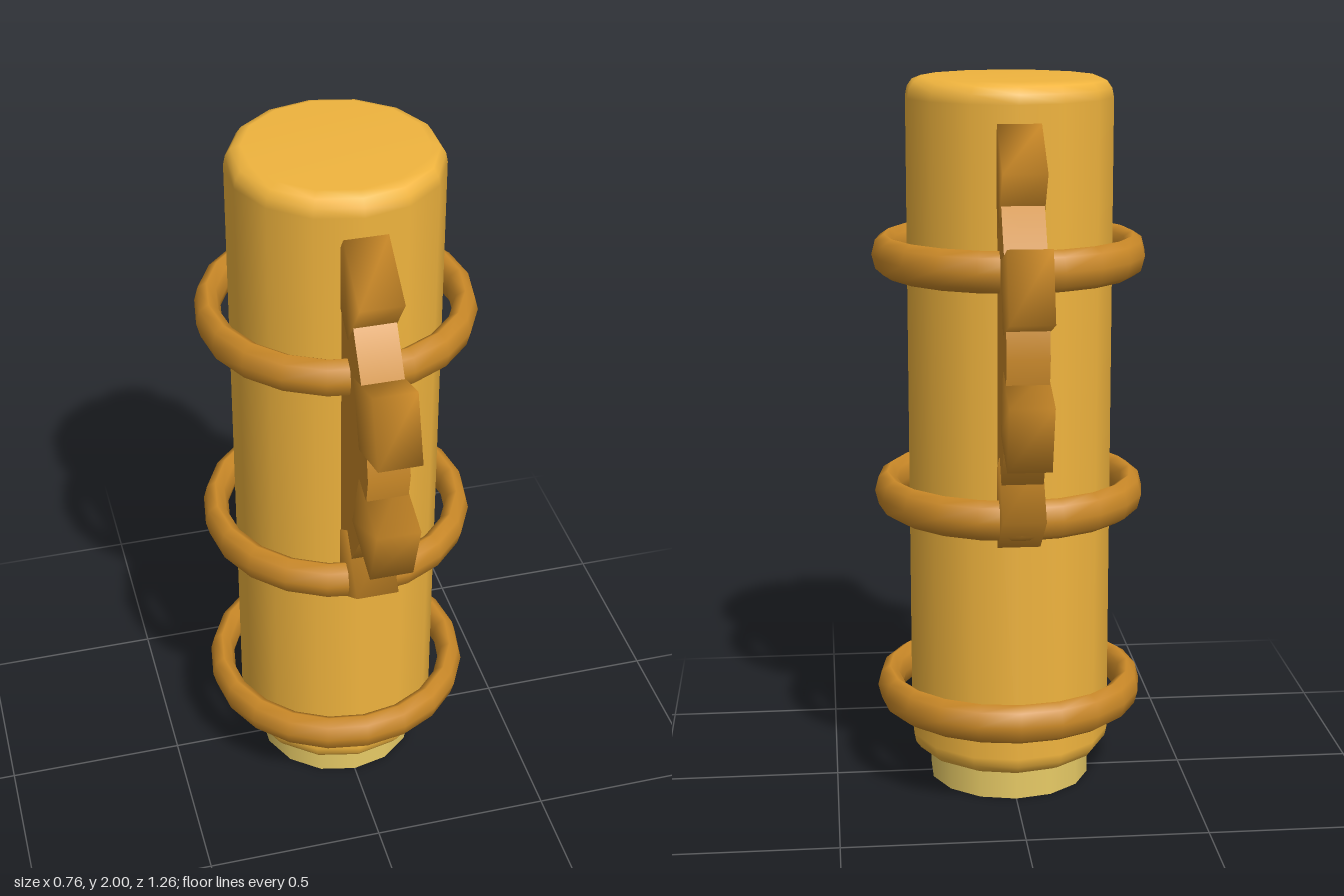
import * as THREE from 'three';
import { mergeVertices } from 'three/addons/utils/BufferGeometryUtils.js';

const material = (color) => new THREE.MeshStandardMaterial({ color });

// Box whose corners share normals, giving it soft shading
function softBox(w, h, d) {
  const box = new THREE.BoxGeometry(w, h, d);
  box.deleteAttribute('normal');
  box.deleteAttribute('uv');
  const soft = mergeVertices(box);
  soft.computeVertexNormals();
  return soft;
}

function lathe(points, sides) {
  return new THREE.LatheGeometry(points.map(([r, y]) => new THREE.Vector2(r, y)), sides);
}

export function createModel() {
  const model = new THREE.Group();
  const gold = material(0xf0b43e);
  const bronze = material(0xcc8a28);
  const pale = material(0xe8cb66);

  const add = (parent, name, geometry, mat) => {
    const mesh = new THREE.Mesh(geometry, mat);
    mesh.name = name;
    parent.add(mesh);
    return mesh;
  };

  // Column with rounded rims
  add(model, 'body', lathe([
    [0, 0.08], [0.235, 0.08], [0.265, 0.095], [0.28, 0.115], [0.285, 0.14],
    [0.285, 1.945], [0.28, 1.97], [0.266, 1.99], [0.24, 2], [0, 2],
  ], 14), gold);

  // Foot under the column
  const foot = add(model, 'foot', new THREE.CylinderGeometry(0.229, 0.229, 0.12, 14), pale);
  foot.position.y = 0.06;

  // Hoops standing clear of the column, taller than they are thick
  for (const y of [0.27, 0.85, 1.52]) {
    const hoop = add(model, 'hoop', new THREE.TorusGeometry(0.343, 0.035, 8, 20), bronze);
    hoop.rotation.x = Math.PI / 2;
    hoop.scale.z = 1.6;
    hoop.position.y = y;
  }

  // Upright cog wheel passing through the column
  const cog = new THREE.Group();
  cog.name = 'cog';
  cog.position.y = 1.33;
  model.add(cog);
  const disc = add(cog, 'cogDisc', new THREE.CylinderGeometry(0.535, 0.535, 0.112, 16), bronze);
  disc.rotation.z = Math.PI / 2;

  // Ten teeth around the rim
  const toothGeometry = softBox(0.116, 0.19, 0.186);
  for (let i = 0; i < 10; i++) {
    const a = (i + 0.5) * Math.PI / 5;
    const tooth = add(cog, 'cogTooth', toothGeometry, bronze);
    tooth.position.set(0, 0.54 * Math.sin(a), 0.54 * Math.cos(a));
    tooth.rotation.x = -a;
  }

  return model;
}
